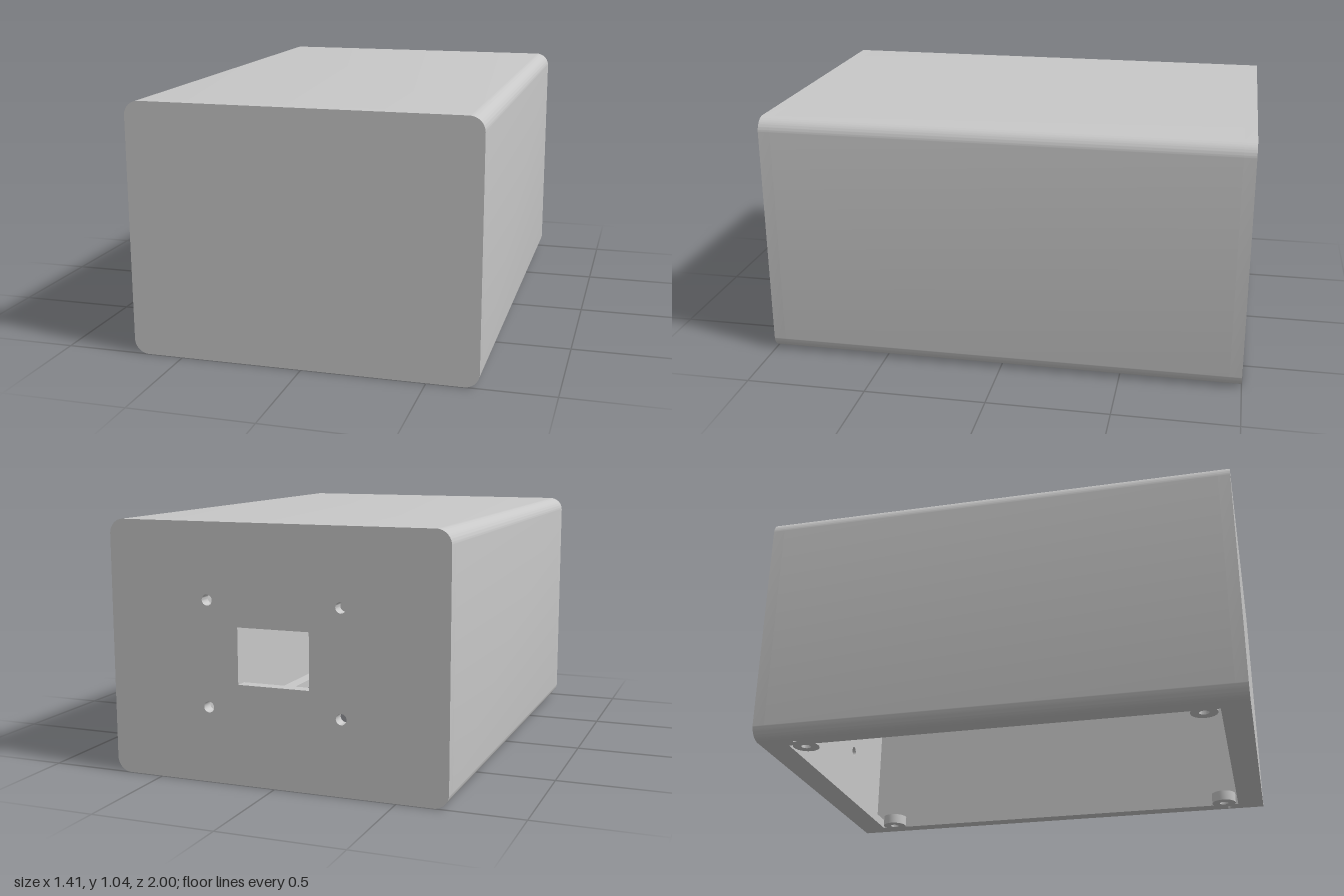
import * as THREE from 'three';
import { toCreasedNormals } from 'three/addons/utils/BufferGeometryUtils.js';

const W = 0.706, H = 1.036, L = 1, WALL = 0.05, R = 0.06;
const RIM = 0.115, LIP_H = 0.04;

// Rounded outline from the lower right corner round to the lower left one
function roundedOutline() {
  const s = new THREE.Shape();
  s.moveTo(W - R, 0);
  s.absarc(W - R, R, R, -Math.PI / 2, 0);
  s.absarc(W - R, H - R, R, 0, Math.PI / 2);
  s.absarc(-W + R, H - R, R, Math.PI / 2, Math.PI);
  s.absarc(-W + R, R, R, Math.PI, Math.PI * 1.5);
  return s;
}

function rectangle(Type, hw, y0, y1) {
  return new Type([[-hw, y0], [hw, y0], [hw, y1], [-hw, y1]].map(([x, y]) => new THREE.Vector2(x, y)));
}

function circle(Type, x, y, r) {
  const p = new Type();
  p.absarc(x, y, r, 0, Math.PI * 2);
  return p;
}

export function createModel() {
  const group = new THREE.Group();
  const grey = new THREE.MeshStandardMaterial({ color: 0xc8c8c8 });

  function extrude(name, shape, depth) {
    const geo = new THREE.ExtrudeGeometry(shape, { depth, bevelEnabled: false, curveSegments: 12 });
    const mesh = new THREE.Mesh(toCreasedNormals(geo, 0.6), grey);
    mesh.name = name;
    group.add(mesh);
    return mesh;
  }

  // Roof and side walls: an open-bottomed channel with rounded outer edges
  const channel = roundedOutline();
  const inner = W - WALL;
  channel.lineTo(-W + R, LIP_H);
  channel.lineTo(-inner, LIP_H);
  channel.lineTo(-inner, H - WALL);
  channel.lineTo(inner, H - WALL);
  channel.lineTo(inner, LIP_H);
  channel.lineTo(W - R, LIP_H);
  channel.closePath();
  extrude('roofAndSides', channel, 2 * (L - WALL)).position.z = -(L - WALL);

  // Plain front wall
  extrude('frontWall', roundedOutline(), WALL).position.z = L - WALL;

  // Back wall with the socket opening and four screw holes
  const back = roundedOutline();
  back.holes.push(rectangle(THREE.Path, 0.15, 0.405, 0.631));
  for (const x of [-0.28, 0.28]) {
    for (const y of [0.305, 0.731]) back.holes.push(circle(THREE.Path, x, y, 0.022));
  }
  extrude('backWall', back, WALL).position.z = -L;

  // Lip around the bottom opening, with a pin hole in two opposite corners
  const lip = rectangle(THREE.Shape, W - R, -L + WALL, L - WALL);
  lip.holes.push(rectangle(THREE.Path, W - RIM, -L + RIM, L - RIM));
  for (const s of [-1, 1]) lip.holes.push(circle(THREE.Path, s * 0.629, s * 0.843, 0.008));
  const lipMesh = extrude('bottomLip', lip, LIP_H);
  lipMesh.rotation.x = Math.PI / 2;
  lipMesh.position.y = LIP_H;

  // Screw bosses in the four corners of the opening
  for (const x of [-0.565, 0.565]) {
    for (const z of [-0.82, 0.82]) {
      const ring = circle(THREE.Shape, 0, 0, 0.055);
      ring.holes.push(circle(THREE.Path, 0, 0, 0.02));
      const boss = extrude('screwBoss', ring, 0.045);
      boss.rotation.x = Math.PI / 2;
      boss.position.set(x, 0.045, z);
    }
  }
  return group;
}
